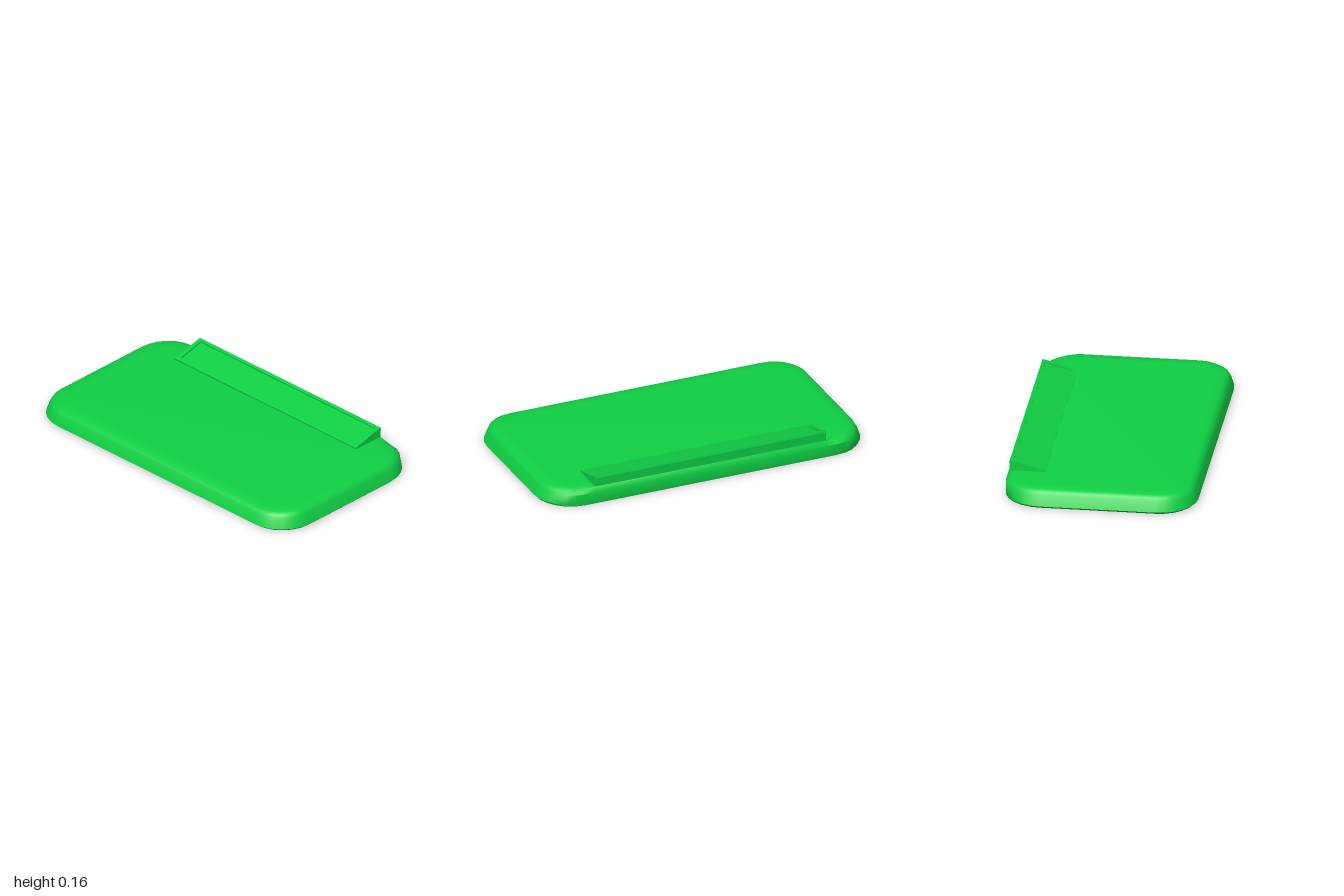
import * as THREE from 'three';
import { toCreasedNormals } from 'three/addons/utils/BufferGeometryUtils.js';

const HALF_W = 0.55, HALF_L = 1, RADIUS = 0.22, ARC_STEPS = 6;
const RIDGE_HALF = 0.715;

// One horizontal outline of the slab: insets for left, ends, right corners and right middle
function outline([y, left, end, right, middle]) {
  const pts = [];
  const corners = [[1, 1], [-1, 1], [-1, -1], [1, -1]];
  corners.forEach(([sx, sz], c) => {
    for (let i = 0; i <= ARC_STEPS; i++) {
      const a = (c + i / ARC_STEPS) * Math.PI / 2;
      const insetX = sx > 0 ? right : left;
      pts.push([
        sx * (HALF_W - RADIUS) + Math.cos(a) * (RADIUS - insetX), y,
        sz * (HALF_L - RADIUS) + Math.sin(a) * (RADIUS - end)
      ]);
    }
  });
  // Steeper stretch of wall beside the ridge
  pts.push([HALF_W - middle, y, -RIDGE_HALF], [HALF_W - middle, y, RIDGE_HALF]);
  return pts;
}

function slabGeometry() {
  const rings = [
    [0, 0.015, 0.012, 0.003, 0.003],
    [0.012, 0, 0, 0, 0],
    [0.07, 0.018, 0.022, 0, 0],
    [0.087, 0.03, 0.032, 0.018, 0.007],
    [0.1, 0.052, 0.052, 0.05, 0.014],
    [0.101, 0.12, 0.12, 0.12, 0.12]
  ].map(outline);
  const n = rings[0].length, pos = [0, 0, 0, 0, 0.101, 0], index = [];
  rings.forEach(r => r.forEach(p => pos.push(...p)));
  const at = (r, i) => 2 + r * n + i % n;
  const last = rings.length - 1;
  for (let i = 0; i < n; i++) {
    for (let r = 0; r < last; r++) {
      index.push(at(r, i), at(r + 1, i), at(r, i + 1));
      index.push(at(r, i + 1), at(r + 1, i), at(r + 1, i + 1));
    }
    index.push(0, at(0, i), at(0, i + 1));
    index.push(1, at(last, i + 1), at(last, i));
  }
  const g = new THREE.BufferGeometry();
  g.setAttribute('position', new THREE.Float32BufferAttribute(pos, 3));
  g.setIndex(index);
  return toCreasedNormals(g, 0.75);
}

function rectangle(Type, x0, x1, y0, y1) {
  return new Type([[x0, y0], [x1, y0], [x1, y1], [x0, y1]].map(p => new THREE.Vector2(...p)));
}

export function createModel() {
  const group = new THREE.Group();
  const green = new THREE.MeshStandardMaterial({ color: 0x0fd044 });
  const add = (name, geometry) => {
    const mesh = new THREE.Mesh(geometry, green);
    mesh.name = name;
    group.add(mesh);
    return mesh;
  };

  // Rounded slab
  add('baseSlab', slabGeometry());

  // Sloping ridge along the left edge
  const wedge = new THREE.Shape(
    [[0.337, 0.08], [0.535, 0.08], [0.539, 0.152], [0.337, 0.101]].map(p => new THREE.Vector2(...p))
  );
  const wedgeGeo = new THREE.ExtrudeGeometry(wedge, { depth: RIDGE_HALF * 2, bevelEnabled: false });
  wedgeGeo.translate(0, 0, -RIDGE_HALF);
  add('ridgeBody', wedgeGeo);

  // Raised rim around the sloping panel
  const slope = Math.atan2(0.051, 0.202), c = Math.cos(slope), s = Math.sin(slope);
  const rim = rectangle(THREE.Shape, 0, 0.208, -RIDGE_HALF, RIDGE_HALF);
  rim.holes.push(rectangle(THREE.Path, 0.022, 0.188, -0.69, 0.69));
  const rimGeo = new THREE.ExtrudeGeometry(rim, { depth: 0.01, bevelEnabled: false });
  rimGeo.applyMatrix4(new THREE.Matrix4().makeBasis(
    new THREE.Vector3(c, s, 0), new THREE.Vector3(0, 0, -1), new THREE.Vector3(-s, c, 0)
  ).setPosition(0.337, 0.101, 0));
  add('ridgeRim', rimGeo);

  return group;
}
